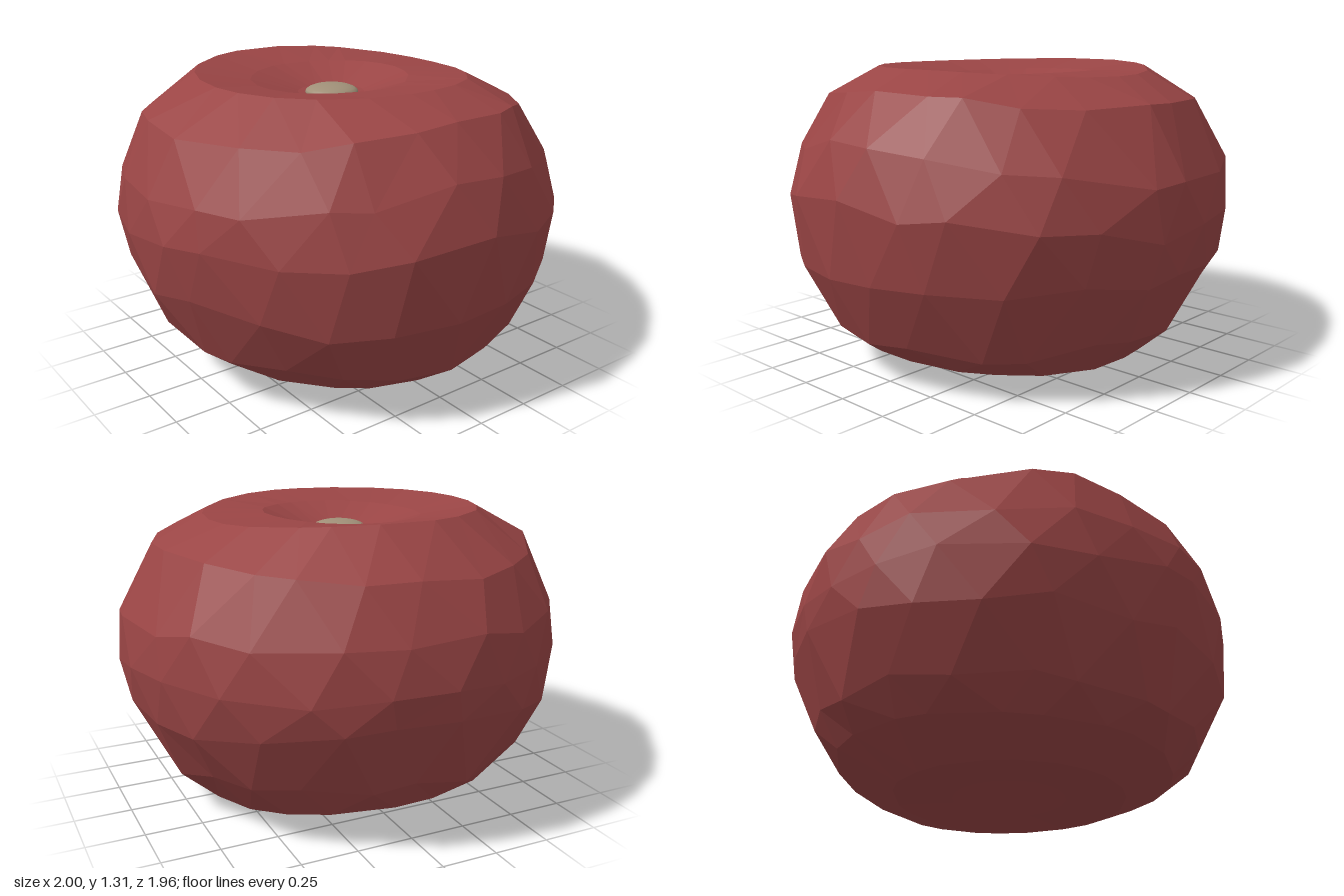
import * as THREE from 'three';

// Profiles [radius, height] from bottom dimple to top dimple, on four sides
const RIGHT_ANGLES = [
  // left (+x)
  [[0, 0.06], [0.25, 0.03], [0.52, 0.02], [0.72, 0.1], [0.84, 0.21], [0.97, 0.46], [1.0, 0.79], [0.93, 1.0], [0.79, 1.19], [0.57, 1.3], [0.36, 1.27], [0.15, 1.2], [0, 1.18]],
  // front (+z)
  [[0, 0.06], [0.25, 0.04], [0.5, 0.04], [0.72, 0.14], [0.83, 0.25], [0.95, 0.5], [0.99, 0.72], [0.97, 0.91], [0.86, 1.14], [0.61, 1.3], [0.36, 1.26], [0.15, 1.2], [0, 1.18]],
  // right (-x)
  [[0, 0.06], [0.25, 0.04], [0.52, 0.04], [0.77, 0.17], [0.87, 0.3], [0.98, 0.58], [1.0, 0.69], [0.98, 0.9], [0.88, 1.14], [0.66, 1.31], [0.36, 1.27], [0.15, 1.2], [0, 1.18]],
  // back (-z)
  [[0, 0.06], [0.25, 0.03], [0.44, 0.0], [0.65, 0.05], [0.81, 0.21], [0.95, 0.48], [0.99, 0.68], [0.97, 0.88], [0.82, 1.17], [0.6, 1.27], [0.34, 1.28], [0.15, 1.2], [0, 1.18]],
];
const SIDES = 22;

// Seeded noise in -1..1
function makeNoise(seed) {
  let s = seed;
  return () => {
    s = (s * 16807) % 2147483647;
    return (s / 2147483647) * 2 - 1;
  };
}

// Blend the two profiles on either side of the angle
function profilePoint(j, angle) {
  const quarter = ((angle / (Math.PI / 2)) % 4 + 4) % 4;
  const k = Math.floor(quarter);
  const t = Math.sin((quarter - k) * Math.PI / 2) ** 2;
  const a = RIGHT_ANGLES[k][j], b = RIGHT_ANGLES[(k + 1) % 4][j];
  return [a[0] + (b[0] - a[0]) * t, a[1] + (b[1] - a[1]) * t];
}

function createBodyGeometry() {
  const noise = makeNoise(4217);
  const positions = [], index = [];
  const rings = RIGHT_ANGLES[0].length;
  for (let j = 0; j < rings; j++) {
    const inner = j < 2 || j > rings - 3;
    const dimpleShift = j > rings - 4 ? -0.04 : 0;
    for (let i = 0; i < SIDES; i++) {
      // irregular facets: shift each corner along the surface
      const wobble = inner ? 0 : noise() * 0.07;
      const angle = ((i + (j % 2) * 0.5) / SIDES) * Math.PI * 2 + wobble;
      const [r, y] = profilePoint(j, angle);
      const steep = j > 3 && j < 9;
      const lift = steep ? noise() * 0.035 : 0;
      const radius = r * (1 + (inner ? 0 : noise() * 0.008));
      positions.push(radius * Math.cos(angle) + dimpleShift, y + lift, radius * Math.sin(angle));
    }
  }
  for (let j = 0; j < rings - 1; j++) {
    for (let i = 0; i < SIDES; i++) {
      const n = (i + 1) % SIDES;
      const a = j * SIDES + i, b = j * SIDES + n;
      const c = a + SIDES, d = b + SIDES;
      // staggered rows: the diagonal follows the half-step offset
      if (j % 2 === 0) index.push(a, c, b, b, c, d);
      else index.push(a, d, b, a, c, d);
    }
  }
  const geometry = new THREE.BufferGeometry();
  geometry.setAttribute('position', new THREE.Float32BufferAttribute(positions, 3));
  geometry.setIndex(index);
  geometry.computeVertexNormals();
  return geometry;
}

export function createModel() {
  const model = new THREE.Group();
  model.name = 'fruit';

  // Faceted, flattened fruit body with dimples above and below
  const body = new THREE.Mesh(
    createBodyGeometry(),
    new THREE.MeshStandardMaterial({ color: 0x9a4545, flatShading: true })
  );
  body.name = 'fruitBody';
  model.add(body);

  // Small rounded stem button in the top dimple
  const stem = new THREE.Mesh(
    new THREE.SphereGeometry(0.12, 24, 12),
    new THREE.MeshStandardMaterial({ color: 0xa09078 })
  );
  stem.name = 'stem';
  stem.scale.y = 0.3;
  stem.position.set(-0.035, 1.2, 0);
  model.add(stem);

  return model;
}
